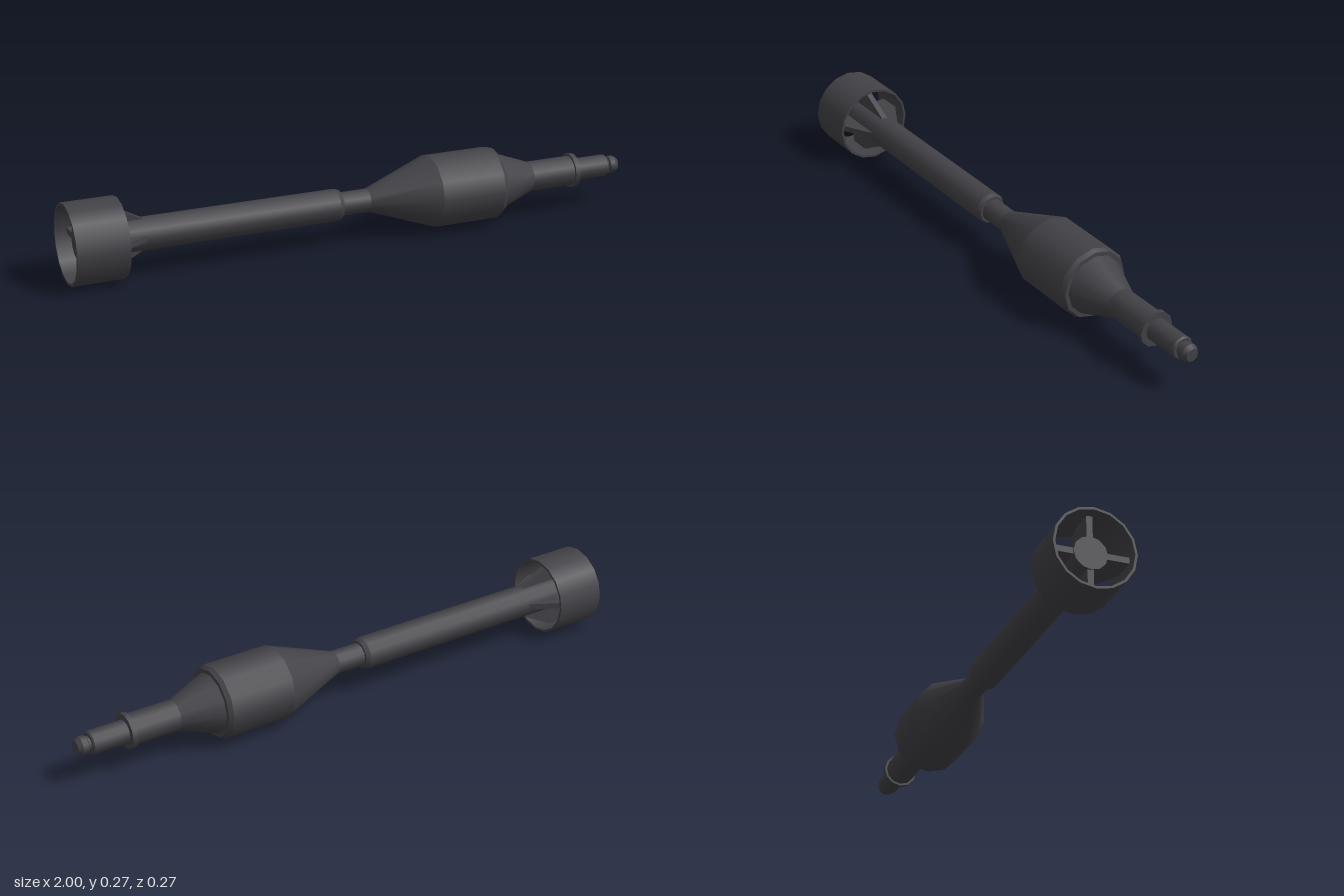
import * as THREE from 'three';
import { mergeGeometries } from 'three/addons/utils/BufferGeometryUtils.js';

// Turned part along x: smooth around, crisp edge at every profile point [x, radius]
function turned(profile, sides) {
  const bands = [];
  for (let i = 0; i < profile.length - 1; i++) {
    const pair = [profile[i], profile[i + 1]].map(([x, r]) => new THREE.Vector2(r, x));
    bands.push(new THREE.LatheGeometry(pair, sides));
  }
  return mergeGeometries(bands).rotateZ(-Math.PI / 2);
}

export function createModel() {
  const model = new THREE.Group();
  model.name = 'finnedProjectile';
  const darkMetal = new THREE.MeshStandardMaterial({ color: 0x424146 });
  darkMetal.name = 'darkMetal';

  // Everything is centred on the long axis
  const axis = new THREE.Group();
  axis.name = 'axis';
  axis.position.y = 0.135;
  model.add(axis);

  function add(name, geometry) {
    const mesh = new THREE.Mesh(geometry, darkMetal);
    mesh.name = name;
    axis.add(mesh);
    return mesh;
  }

  // Tail tube with chamfered front end
  add('tailTube', turned([
    [-0.965, 0], [-0.965, 0.055], [-0.075, 0.055], [-0.06, 0.048], [-0.06, 0.03],
  ], 12));

  // Neck and swelling body
  add('body', turned([
    [-0.07, 0.04], [0.04, 0.04], [0.27, 0.125], [0.5, 0.125],
    [0.515, 0.117], [0.515, 0.103], [0.65, 0.052], [0.815, 0.052],
  ], 12));

  // Fuse collar
  add('collar', turned([
    [0.81, 0.045], [0.81, 0.06], [0.828, 0.06], [0.828, 0.035],
  ], 12));

  // Stepped nose
  add('nose', turned([
    [0.82, 0.039], [0.95, 0.039], [0.955, 0.035], [0.955, 0.025], [0.962, 0.025],
    [0.967, 0.031], [0.985, 0.031], [1, 0.022], [1, 0],
  ], 12));

  // Hollow tail ring
  add('tailRing', turned([
    [-1, 0.127], [-1, 0.135], [-0.825, 0.135], [-0.825, 0.127], [-1, 0.127],
  ], 16));

  // Four fins joining tube and ring
  const outline = [[-0.96, 0.04], [-0.745, 0.04], [-0.745, 0.052], [-0.89, 0.13], [-0.96, 0.13]];
  const finShape = new THREE.Shape(outline.map(([x, y]) => new THREE.Vector2(x, y)));
  const finGeometry = new THREE.ExtrudeGeometry(finShape, { depth: 0.02, bevelEnabled: false });
  finGeometry.translate(0, 0, -0.01);
  for (let i = 0; i < 4; i++) {
    add('fin' + (i + 1), finGeometry).rotation.x = i * Math.PI / 2;
  }

  return model;
}
